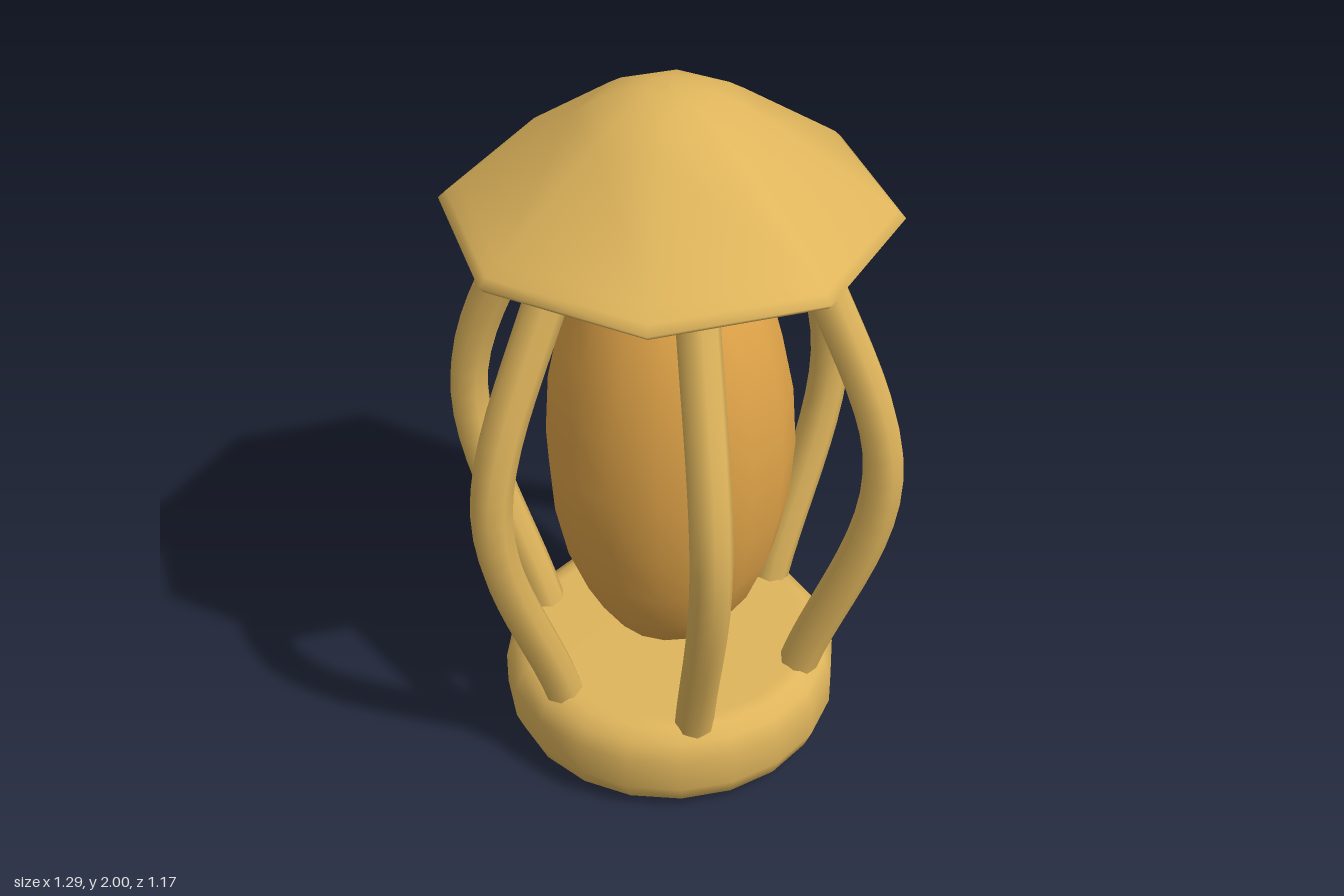
import * as THREE from 'three';

const gold = new THREE.MeshStandardMaterial({ color: 0xdfb55c });
gold.name = 'gold';
const amber = new THREE.MeshStandardMaterial({ color: 0xdfa348 });
amber.name = 'amber';

function addMesh(group, name, geometry, material) {
  const mesh = new THREE.Mesh(geometry, material);
  mesh.name = name;
  group.add(mesh);
  return mesh;
}

// profile of [radius, height] pairs, listed from the bottom up
function lathe(profile, sides) {
  return new THREE.LatheGeometry(profile.map(([r, y]) => new THREE.Vector2(r, y)), sides);
}

export function createModel() {
  const model = new THREE.Group();
  model.name = 'lantern';

  // round base with softened rims
  addMesh(model, 'base', lathe([
    [0, 0], [0.38, 0], [0.415, 0.008], [0.452, 0.035], [0.474, 0.09],
    [0.474, 0.19], [0.452, 0.242], [0.415, 0.268], [0.38, 0.275], [0, 0.275],
  ], 20), gold);

  // glowing core
  const core = addMesh(model, 'core', new THREE.SphereGeometry(1, 16, 12), amber);
  core.scale.set(0.338, 0.678, 0.338);
  core.position.y = 0.957;

  // six bowed ribs
  const ribs = new THREE.Group();
  ribs.name = 'ribs';
  model.add(ribs);
  const path = new THREE.CatmullRomCurve3([
    new THREE.Vector3(0.388, 0.265, 0),
    new THREE.Vector3(0.592, 0.99, 0),
    new THREE.Vector3(0.345, 1.67, 0),
  ]);
  const ribGeometry = new THREE.TubeGeometry(path, 20, 0.055, 8);
  for (let i = 0; i < 6; i++) {
    addMesh(ribs, 'rib', ribGeometry, gold).rotation.y = (i * Math.PI) / 3;
  }

  // eight-sided roof with a thin rim and rounded peak
  addMesh(model, 'roof', lathe([
    [0, 1.645], [0.52, 1.645], [0.55, 1.645], [0.575, 1.65], [0.587, 1.664],
    [0.566, 1.685], [0.53, 1.711], [0.24, 1.917], [0.19, 1.95], [0.12, 1.982],
    [0.06, 1.997], [0, 2],
  ], 8), gold);

  return model;
}
